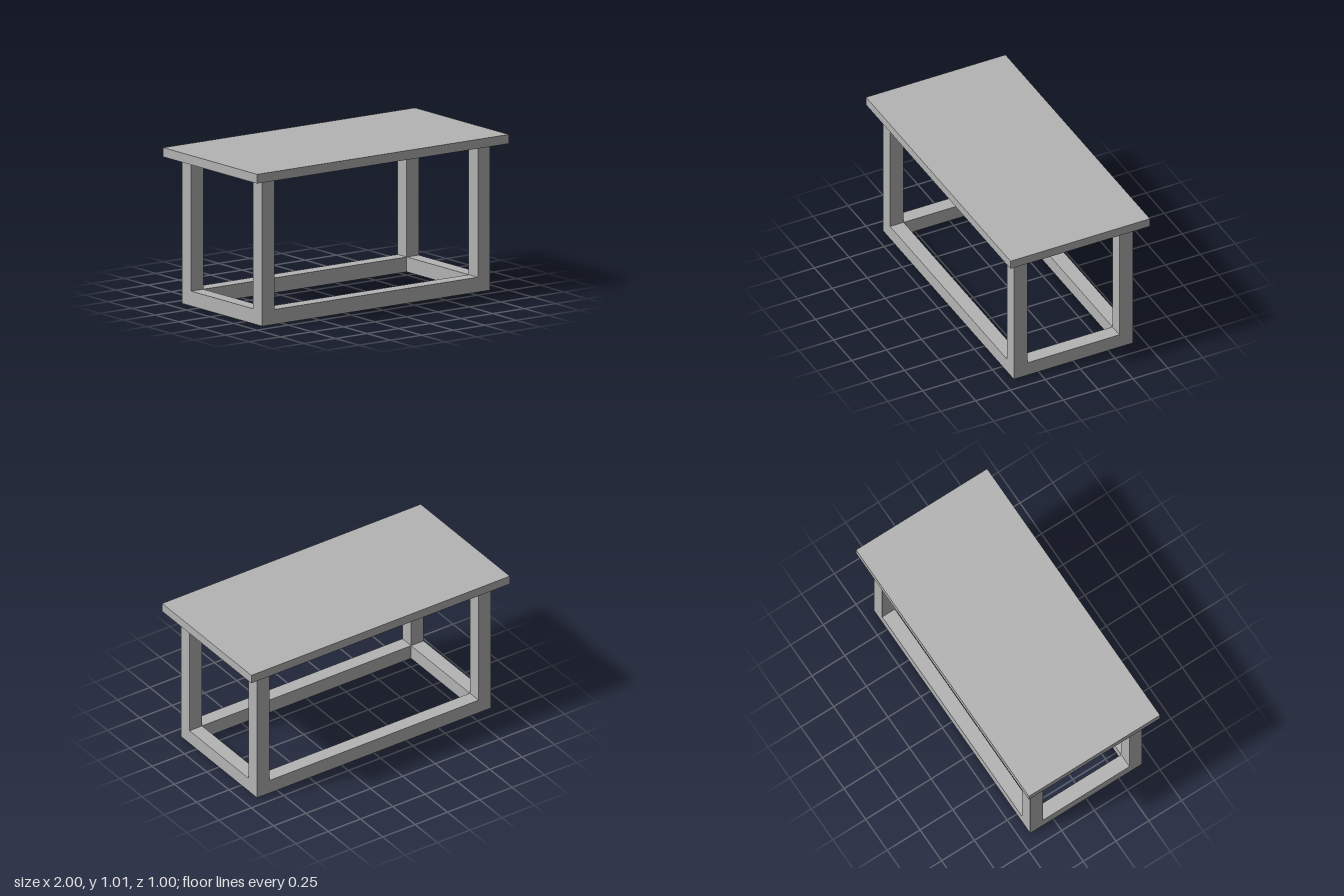
import * as THREE from 'three';

export function createModel() {
  const model = new THREE.Group();
  const grey = new THREE.MeshStandardMaterial({ color: 0xb4b4b4 });
  grey.name = 'plain grey';

  const outerX = 0.905, outerZ = 0.427; // half extents of the base
  const beam = 0.097;                   // square section of legs and rails
  const topY = 0.955, topThickness = 0.06;

  const addBox = (name, w, h, d, x, y, z) => {
    const mesh = new THREE.Mesh(new THREE.BoxGeometry(w, h, d), grey);
    mesh.name = name;
    mesh.position.set(x, y, z);
    model.add(mesh);
  };

  // Table top
  addBox('tableTop', 2, topThickness, 1, 0, topY + topThickness / 2, 0);

  // Four legs standing on the corners of the floor frame
  const legX = outerX - beam / 2, legZ = outerZ - beam / 2;
  for (const [side, sx] of [['left', 1], ['right', -1]]) {
    for (const [end, sz] of [['Front', 1], ['Back', -1]]) {
      addBox(`${side}${end}Leg`, beam, topY - beam, beam, sx * legX, (topY + beam) / 2, sz * legZ);
    }
  }

  // Rectangular floor frame, one ring with an open centre
  const rectangle = (path, x, z) =>
    path.moveTo(-x, -z).lineTo(x, -z).lineTo(x, z).lineTo(-x, z).closePath();
  const ring = rectangle(new THREE.Shape(), outerX, outerZ);
  ring.holes.push(rectangle(new THREE.Path(), outerX - beam, outerZ - beam));
  const frameGeometry = new THREE.ExtrudeGeometry(ring, { depth: beam, bevelEnabled: false });
  frameGeometry.rotateX(-Math.PI / 2);
  const frame = new THREE.Mesh(frameGeometry, grey);
  frame.name = 'floorFrame';
  model.add(frame);

  return model;
}
